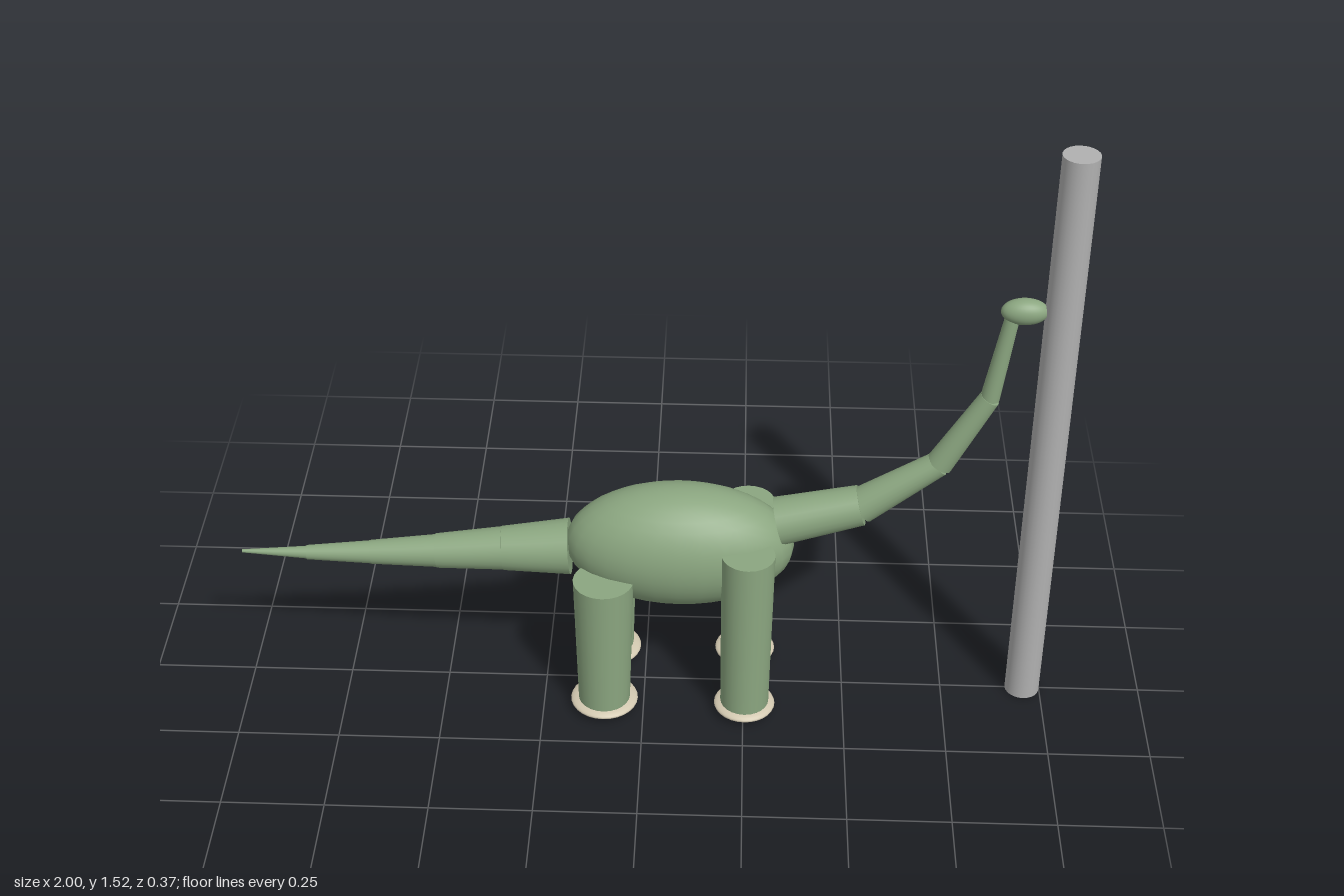
import * as THREE from 'three';

const skin = new THREE.MeshStandardMaterial({ color: 0x8ba680 });
skin.name = 'sage green skin';
const pad = new THREE.MeshStandardMaterial({ color: 0xd2c8b0 });
pad.name = 'cream foot pad';
const grey = new THREE.MeshStandardMaterial({ color: 0xb0b0b0 });
grey.name = 'grey pole';

function add(parent, name, geometry, material) {
  const mesh = new THREE.Mesh(geometry, material);
  mesh.name = name;
  parent.add(mesh);
  return mesh;
}

function ellipsoid(parent, name, material, center, radii) {
  const mesh = add(parent, name, new THREE.SphereGeometry(1, 28, 18), material);
  mesh.position.set(...center);
  mesh.scale.set(...radii);
}

// Tapered capped cylinder from point a (radius ra) to point b (radius rb)
function limb(parent, name, material, a, b, ra, rb) {
  const start = new THREE.Vector3(...a), end = new THREE.Vector3(...b);
  const dir = end.clone().sub(start);
  const mesh = add(parent, name, new THREE.CylinderGeometry(rb, ra, dir.length(), 24), material);
  mesh.position.copy(start).add(end).multiplyScalar(0.5);
  mesh.quaternion.setFromUnitVectors(new THREE.Vector3(0, 1, 0), dir.normalize());
}

// Chain of separate straight segments: [x, y, start radius, end radius of the previous segment]
function chain(parent, name, joints) {
  const group = new THREE.Group();
  group.name = name;
  parent.add(group);
  for (let i = 0; i < joints.length - 1; i++) {
    const [x, y, r] = joints[i], [x2, y2, , r2] = joints[i + 1];
    limb(group, name + 'Segment' + (i + 1), skin, [x, y, 0], [x2, y2, 0], r, r2);
  }
}

export function createModel() {
  const model = new THREE.Group();
  model.name = 'longNeckedDinosaur';

  ellipsoid(model, 'body', skin, [0.085, 0.435, 0], [0.28, 0.16, 0.137]);

  chain(model, 'tail', [
    [-0.185, 0.416, 0.07, 0],
    [-0.35, 0.405, 0.054, 0.055],
    [-0.515, 0.392, 0.041, 0.043],
    [-0.677, 0.383, 0.029, 0.03],
    [-0.838, 0.377, 0.016, 0.018],
    [-1, 0.376, 0, 0.004],
  ]);

  chain(model, 'neck', [
    [0.325, 0.508, 0.06, 0],
    [0.522, 0.561, 0.045, 0.05],
    [0.702, 0.69, 0.033, 0.031],
    [0.807, 0.88, 0.023, 0.025],
    [0.842, 1.108, 0, 0.017],
  ]);

  ellipsoid(model, 'head', skin, [0.868, 1.12, 0], [0.055, 0.032, 0.03]);

  // Four legs, each on a flattened foot pad
  for (const side of [1, -1]) {
    const s = side > 0 ? 'Near' : 'Far';
    limb(model, 'frontLeg' + s, skin, [0.253, 0.02, side * 0.11], [0.253, 0.485, side * 0.11], 0.06, 0.065);
    ellipsoid(model, 'frontFoot' + s, pad, [0.253, 0.021, side * 0.109], [0.076, 0.017, 0.076]);
    limb(model, 'rearLeg' + s, skin, [-0.098, 0.02, side * 0.107], [-0.098, 0.395, side * 0.107], 0.064, 0.074);
    ellipsoid(model, 'rearFoot' + s, pad, [-0.098, 0.021, side * 0.103], [0.084, 0.017, 0.084]);
  }

  // Upright pole in front of the head
  limb(model, 'pole', grey, [0.957, 0, 0], [0.957, 1.525, 0], 0.043, 0.043);

  return model;
}
